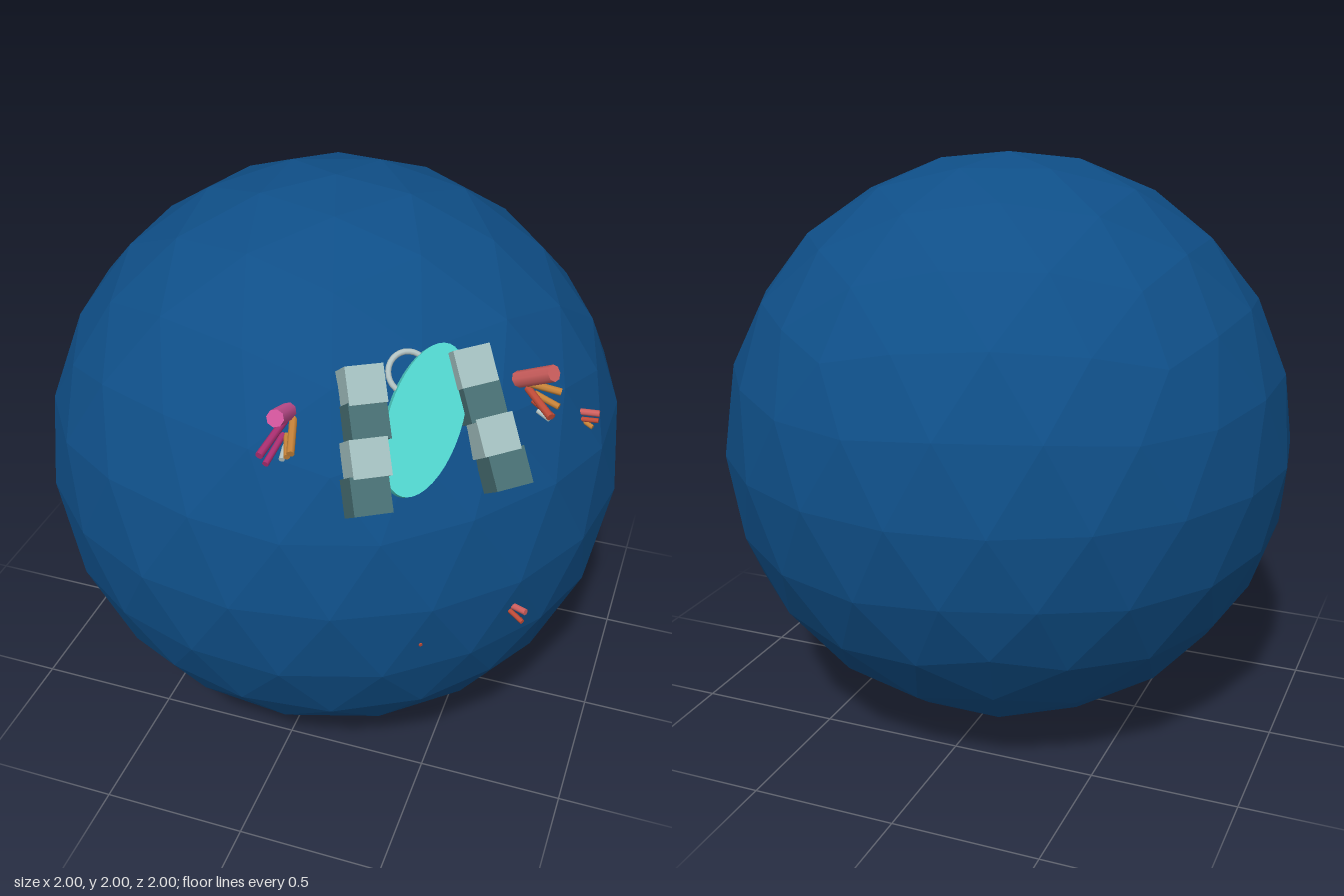
import * as THREE from 'three';

const mat = (name, color) => {
  const m = new THREE.MeshStandardMaterial({ color });
  m.name = name;
  return m;
};

export function createModel() {
  const model = new THREE.Group();
  const M = {
    ocean: mat('ocean blue', 0x0f4f88),
    cyan: mat('turquoise', 0x50d3cb),
    light: mat('pale stone', 0xa1bebe),
    dark: mat('dark slate', 0x466d71),
    ring: mat('ring grey', 0xb4c4c4),
    pink: mat('pink', 0xd2559c),
    magenta: mat('magenta', 0xac2f72),
    red: mat('coral red', 0xd0605f),
    rust: mat('rust', 0xc04c38),
    orange: mat('orange', 0xc58238),
  };
  const add = (parent, name, geo, material) => {
    const mesh = new THREE.Mesh(geo, material);
    mesh.name = name;
    parent.add(mesh);
    return mesh;
  };

  // Faceted globe, turned so that a corner points straight up
  const globe = new THREE.IcosahedronGeometry(1, 3);
  globe.rotateZ(-Math.atan(2 / (1 + Math.sqrt(5))));
  globe.computeVertexNormals();
  add(model, 'globe', globe, M.ocean).position.y = 1;

  // Settlement: local x runs sideways, y up along the surface, z outwards
  const town = new THREE.Group();
  town.name = 'settlement';
  town.position.y = 1;
  town.rotation.set(-0.654, 0.646, 0, 'YXZ');
  model.add(town);

  // Two columns of four blocks in alternating colours, spreading downwards
  const spread = [0.167, 0.176, 0.195, 0.212];
  for (const side of [-1, 1]) {
    spread.forEach((x, i) => {
      const raised = i % 2 === 0;
      const block = add(town, 'block', new THREE.BoxGeometry(0.115, 0.112, 0.11), raised ? M.light : M.dark);
      block.position.set(side * x, 0.08 - i * 0.103, raised ? 1.008 : 1.004);
      block.rotation.z = side * 0.06;
    });
  }

  // Slanted oval pool between the columns, with a thin ring behind it
  const pool = new THREE.CylinderGeometry(1, 1, 0.03, 40);
  pool.rotateX(Math.PI / 2).scale(0.11, 0.235, 1).rotateZ(-Math.PI / 6);
  add(town, 'ovalPool', pool, M.cyan).position.set(0.0, -0.045, 1.005);
  add(town, 'ring', new THREE.TorusGeometry(0.062, 0.009, 8, 28), M.ring).position.set(-0.015, 0.098, 0.995);

  // Coral branches: colour, radius, root, tip
  const branch = (parent, [material, r, root, tip]) => {
    const a = new THREE.Vector3(...root), b = new THREE.Vector3(...tip);
    const dir = b.clone().sub(a);
    const mesh = add(parent, 'coralBranch', new THREE.CylinderGeometry(r, r, dir.length(), 8), material);
    mesh.position.copy(a).add(b).multiplyScalar(0.5);
    mesh.quaternion.setFromUnitVectors(new THREE.Vector3(0, 1, 0), dir.normalize());
  };
  const corals = {
    pinkCoral: [
      [M.pink, 0.026, [0.12, 1.59, 0.76], [0.14, 1.665, 0.92]],
      [M.magenta, 0.012, [0.12, 1.58, 0.79], [0.1, 1.55, 0.95]],
      [M.magenta, 0.01, [0.12, 1.54, 0.81], [0.11, 1.51, 0.93]],
      [M.orange, 0.012, [0.14, 1.58, 0.78], [0.175, 1.54, 0.9]],
      [M.orange, 0.01, [0.13, 1.54, 0.81], [0.16, 1.52, 0.89]],
      [M.ring, 0.009, [0.13, 1.52, 0.81], [0.14, 1.5, 0.88]],
    ],
    redCoral: [
      [M.red, 0.026, [0.7, 1.58, 0.36], [0.82, 1.66, 0.42]],
      [M.rust, 0.012, [0.74, 1.57, 0.38], [0.83, 1.54, 0.47]],
      [M.rust, 0.01, [0.76, 1.53, 0.38], [0.83, 1.51, 0.42]],
      [M.orange, 0.012, [0.72, 1.59, 0.38], [0.84, 1.57, 0.37]],
      [M.orange, 0.01, [0.76, 1.55, 0.37], [0.84, 1.53, 0.39]],
      [M.ring, 0.009, [0.78, 1.51, 0.4], [0.82, 1.5, 0.42]],
    ],
    smallSideCoral: [
      [M.red, 0.011, [0.87, 1.4, 0.19], [0.94, 1.405, 0.19]],
      [M.rust, 0.008, [0.88, 1.38, 0.2], [0.94, 1.385, 0.2]],
      [M.orange, 0.008, [0.89, 1.37, 0.19], [0.925, 1.36, 0.205]],
    ],
    smallLowCoral: [
      [M.red, 0.011, [0.77, 0.89, 0.57], [0.835, 0.895, 0.6]],
      [M.rust, 0.008, [0.77, 0.88, 0.58], [0.83, 0.87, 0.62]],
      [M.rust, 0.008, [0.77, 0.87, 0.57], [0.82, 0.84, 0.58]],
    ],
    buriedCoral: [[M.rust, 0.006, [0.53, 0.86, 0.77], [0.555, 0.85, 0.805]]],
  };
  for (const [name, branches] of Object.entries(corals)) {
    const cluster = new THREE.Group();
    cluster.name = name;
    branches.forEach((b) => branch(cluster, b));
    model.add(cluster);
  }
  return model;
}
